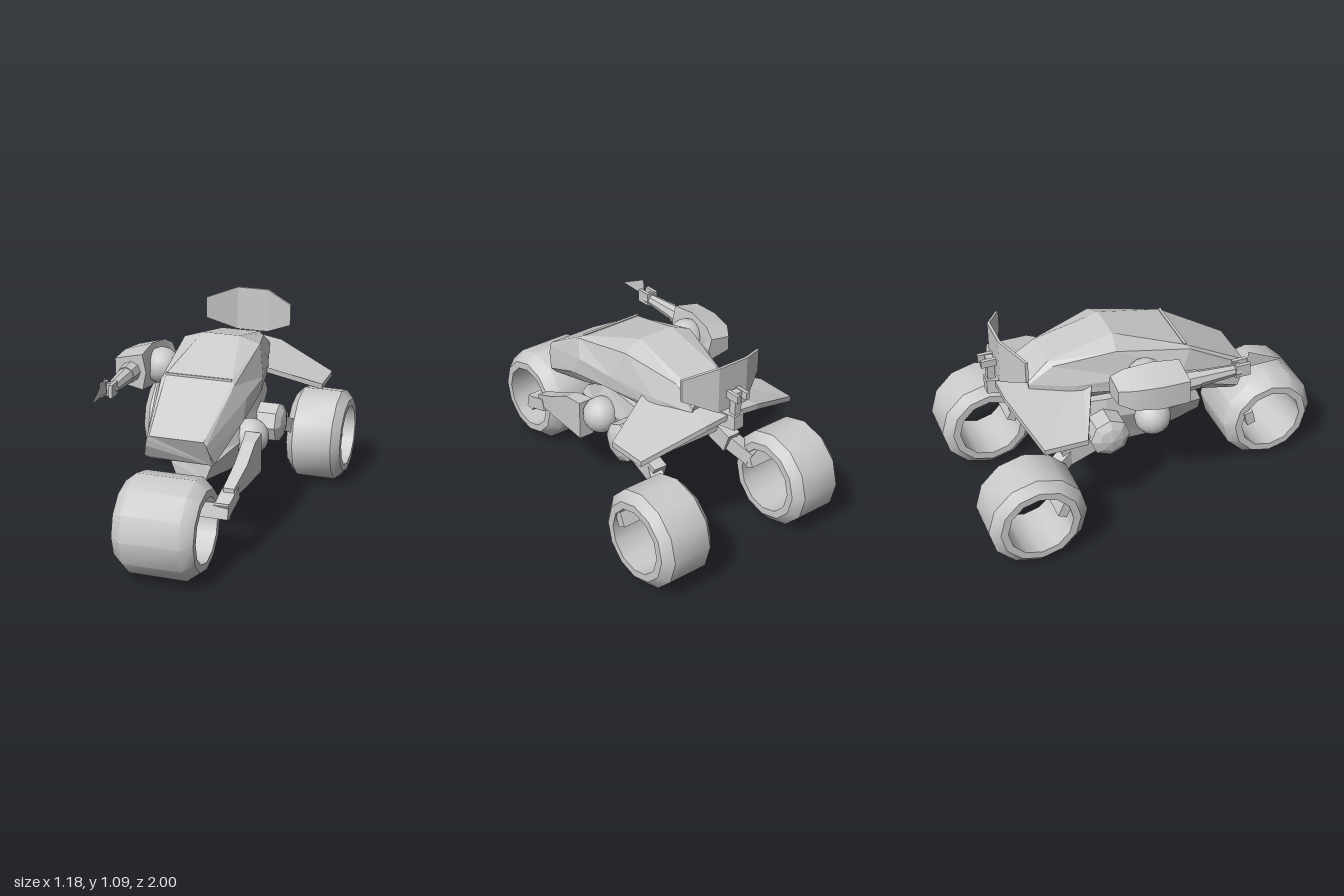
import * as THREE from 'three';
import { toCreasedNormals } from 'three/addons/utils/BufferGeometryUtils.js';

const flat = new THREE.MeshStandardMaterial({ color: 0xcccccc, flatShading: true });
const smooth = new THREE.MeshStandardMaterial({ color: 0xcccccc });
const thin = new THREE.MeshStandardMaterial({ color: 0xcccccc, side: THREE.DoubleSide });

// Skin through equal-length rings of [x, y, z], capped at both ends, always facing outwards
function loft(rings) {
  const tris = [], n = rings[0].length, last = rings[rings.length - 1];
  for (let r = 0; r < rings.length - 1; r++) {
    for (let i = 0; i < n; i++) {
      const a = rings[r], b = rings[r + 1], j = (i + 1) % n;
      tris.push([a[i], b[i], a[j]], [a[j], b[i], b[j]]);
    }
  }
  for (let i = 1; i < n - 1; i++) {
    tris.push([rings[0][0], rings[0][i], rings[0][i + 1]], [last[0], last[i + 1], last[i]]);
  }
  const v = (p) => new THREE.Vector3(...p);
  const volume = tris.reduce((s, t) => s + v(t[0]).dot(v(t[1]).cross(v(t[2]))), 0);
  if (volume < 0) tris.forEach((t) => t.reverse());
  const geo = new THREE.BufferGeometry();
  geo.setAttribute('position', new THREE.Float32BufferAttribute(tris.flat(2), 3));
  geo.computeVertexNormals();
  return geo;
}
const prism = (pts, [dx, dy, dz]) => loft([pts, pts.map(([x, y, z]) => [x + dx, y + dy, z + dz])]);
const mirrorX = (pts, s) => pts.map(([x, y, z]) => [x * s, y, z]);

// Ring of a left-right symmetric section, given its left half from top to bottom
const symmetric = (half) => [...half.slice().reverse(), ...mirrorX(half, -1)];

export function createModel() {
  const model = new THREE.Group();
  function add(name, geo, pos = [0, 0, 0], mat = flat, parent = model) {
    const mesh = new THREE.Mesh(geo, mat);
    mesh.name = name;
    mesh.position.set(...pos);
    parent.add(mesh);
    return mesh;
  }
  // Box running from a to b
  function beam(name, a, b, w, h) {
    const p = new THREE.Vector3(...a), q = new THREE.Vector3(...b);
    const mesh = add(name, new THREE.BoxGeometry(w, h, p.distanceTo(q)), p.clone().add(q).multiplyScalar(0.5).toArray());
    mesh.lookAt(q);
    return mesh;
  }
  // Turned part about the x axis, profile as [radius, x]
  function turned(profile, sides) {
    const pts = profile.map(([r, x]) => new THREE.Vector2(r, x));
    return new THREE.LatheGeometry(pts, sides).rotateZ(-Math.PI / 2);
  }

  // Hollow twelve-sided wheels
  function wheel(name, x, z, hw, bevel, crease) {
    const profile = [[0.175, -hw], [0.215, -hw], [0.265, bevel - hw], [0.265, hw - bevel],
      [0.215, hw], [0.175, hw], [0.175, -hw]];
    const geo = toCreasedNormals(turned(profile, 12).rotateX(Math.PI / 2), crease);
    add(name, geo, [x, 0.265, z], smooth);
  }
  wheel('frontWheel', 0, 0.735, 0.215, 0.06, 0.7);
  wheel('rearLeftWheel', 0.435, -0.735, 0.157, 0.045, 0.6);
  wheel('rearRightWheel', -0.435, -0.735, 0.157, 0.045, 0.6);

  // Faceted cockpit fuselage, nose to tail
  const fuselage = [
    [[0.145, 0.67, 0.58], [0.16, 0.65, 0.58], [0.17, 0.61, 0.57], [0.19, 0.54, 0.53], [0.17, 0.52, 0.51]],
    [[0.18, 0.88, 0.22], [0.2, 0.86, 0.24], [0.25, 0.78, 0.18], [0.25, 0.67, 0.25], [0.2, 0.61, 0.2]],
    [[0.105, 1, -0.16], [0.215, 0.96, -0.18], [0.255, 0.8, -0.1], [0.25, 0.72, -0.08], [0.2, 0.68, -0.02]],
    [[0.11, 0.915, -0.52], [0.14, 0.9, -0.5], [0.2, 0.79, -0.4], [0.2, 0.74, -0.4], [0.15, 0.67, -0.42]],
    [[0.13, 0.83, -0.63], [0.14, 0.82, -0.63], [0.14, 0.79, -0.63], [0.13, 0.75, -0.63], [0.1, 0.68, -0.6]],
  ];
  add('fuselage', loft(fuselage.map(symmetric)));
  // Raised frame at the rear edge of the windscreen
  add('canopyFrame', new THREE.BoxGeometry(0.36, 0.012, 0.015), [0, 0.882, 0.22]);

  // Drooping rear wings
  for (const s of [1, -1]) {
    const outline = [[0, 0.82, -0.3], [0.2, 0.785, -0.31], [0.5, 0.67, -0.44], [0.5, 0.67, -0.67],
      [0.17, 0.795, -0.77], [0, 0.82, -0.78]];
    add(s > 0 ? 'leftWing' : 'rightWing', prism(mirrorX(outline, s), [0, -0.03, 0]));
  }

  // Swept spoiler on its post
  const spoilerRing = ([x, lo, hi, z]) => [[x, lo, z], [x, hi, z], [x, hi, z - 0.015], [x, lo, z - 0.015]];
  add('spoiler', loft([[-0.25, 0.92, 1.04, -0.66], [-0.09, 0.84, 1.09, -0.75],
    [0.09, 0.84, 1.09, -0.75], [0.25, 0.92, 1.04, -0.66]].map(spoilerRing)));
  add('spoilerBase', loft([[0.05, -0.58], [0.05, -0.74], [0.03, -0.82]].map(
    ([w, z]) => [[-w, 0.74, z], [w, 0.74, z], [w, 0.82, z], [-w, 0.82, z]])));
  add('spoilerPost', new THREE.BoxGeometry(0.04, 0.17, 0.04), [0, 0.86, -0.79]);
  for (const s of [1, -1]) {
    add('spoilerClevis', new THREE.BoxGeometry(0.02, 0.04, 0.09), [s * 0.03, 0.93, -0.8]);
  }
  add('spoilerPin', new THREE.BoxGeometry(0.08, 0.03, 0.03), [0, 0.93, -0.79]);

  // Chassis block with a keel, and the neck carrying the fuselage
  const chassis = [
    [[0.08, 0.48, 0.34], [0.11, 0.44, 0.35], [0.08, 0.36, 0.35]],
    [[0.16, 0.65, 0.08], [0.2, 0.5, 0.1], [0.12, 0.3, 0.03]],
    [[0.19, 0.65, -0.22], [0.21, 0.55, -0.25], [0.14, 0.32, -0.26]],
    [[0.15, 0.65, -0.5], [0.17, 0.58, -0.5], [0.14, 0.51, -0.5]],
  ];
  add('chassis', loft(chassis.map(symmetric)));
  add('neck', new THREE.CylinderGeometry(0.11, 0.11, 0.12, 12), [0, 0.67, -0.16]);

  // Suspension hubs and rear swing arms, both sides
  for (const s of [1, -1]) {
    const side = s > 0 ? 'Left' : 'Right';
    add('front' + side + 'Hub', new THREE.SphereGeometry(0.1, 16, 12), [s * 0.225, 0.5, 0.02], smooth);
    const hub = add('rear' + side + 'Hub', turned([[0, 0.15], [0.11, 0.18], [0.11, 0.31], [0.07, 0.335], [0, 0.35]], 8),
      [0, 0.49, -0.25]);
    if (s < 0) hub.rotation.y = Math.PI, hub.position.z = -0.25;
    beam('rear' + side + 'Arm', [s * 0.24, 0.48, -0.27], [s * 0.25, 0.4, -0.5], 0.08, 0.11);
    beam('rear' + side + 'ArmElbow', [s * 0.25, 0.41, -0.46], [s * 0.31, 0.33, -0.6], 0.07, 0.08);
    const axle = add('rear' + side + 'Axle', new THREE.BoxGeometry(0.3, 0.08, 0.05), [s * 0.43, 0.32, -0.6]);
    axle.rotation.x = 0.45;
  }

  // Single-sided front fork on the left
  add('frontArm', loft([
    [0.22, 0.31, 0.34, 0.56, 0.1], [0.24, 0.31, 0.35, 0.55, 0.22],
    [0.24, 0.31, 0.36, 0.48, 0.36], [0.23, 0.29, 0.36, 0.41, 0.52],
  ].map(([x0, x1, y0, y1, z]) => [[x0, y0, z], [x1, y0, z], [x1, y1, z], [x0, y1, z]])));
  beam('frontArmElbow', [0.26, 0.37, 0.46], [0.25, 0.32, 0.61], 0.08, 0.07);
  const frontAxle = add('frontAxle', new THREE.BoxGeometry(0.52, 0.08, 0.05), [0.03, 0.32, 0.6]);
  frontAxle.rotation.x = -0.25;

  // Weapon arm on the right
  const gun = new THREE.Group();
  gun.name = 'weaponArm';
  model.add(gun);
  add('shoulderJoint', new THREE.SphereGeometry(0.1, 16, 12), [-0.3, 0.825, -0.05], smooth, gun);
  add('shoulderMount', turned([[0, -0.05], [0.07, -0.05], [0.07, 0.06], [0, 0.06]], 12), [-0.23, 0.825, -0.05], flat, gun);
  // Rings: outer x, inner x, outer half height, inner half height, z
  const pod = [[-0.43, -0.31, 0.04, 0.06, -0.25], [-0.48, -0.33, 0.06, 0.1, -0.18],
    [-0.51, -0.35, 0.068, 0.12, -0.04], [-0.51, -0.355, 0.065, 0.1, 0.11]];
  add('weaponPod', toCreasedNormals(loft(pod.map(([xo, xi, ho, hi, z]) => [
    [xo, 0.83 - ho, z], [xi, 0.83 - hi, z], [xi + 0.02, 0.83, z], [xi, 0.83 + hi, z], [xo, 0.83 + ho, z],
  ])), 0.5), [0, 0, 0], smooth, gun);
  const tube = (name, r0, r1, z0, z1) => add(name, new THREE.CylinderGeometry(r1, r0, z1 - z0, 8).rotateX(Math.PI / 2),
    [-0.42, 0.83, (z0 + z1) / 2], flat, gun);
  tube('barrelCollar', 0.055, 0.05, 0.1, 0.19);
  tube('barrel', 0.045, 0.03, 0.19, 0.4);
  tube('muzzle', 0.04, 0.04, 0.39, 0.42);
  for (const s of [1, -1]) {
    add('muzzleProng', new THREE.BoxGeometry(0.02, 0.07, 0.08), [-0.42 + s * 0.025, 0.84, 0.43], flat, gun);
  }
  // Thin triangular blade
  const blade = new THREE.Shape([[0.66, 0.835], [0.47, 0.925], [0.46, 0.83]].map((p) => new THREE.Vector2(...p)));
  add('blade', new THREE.ShapeGeometry(blade).rotateY(-Math.PI / 2), [-0.42, 0, 0], thin, gun);

  return model;
}
